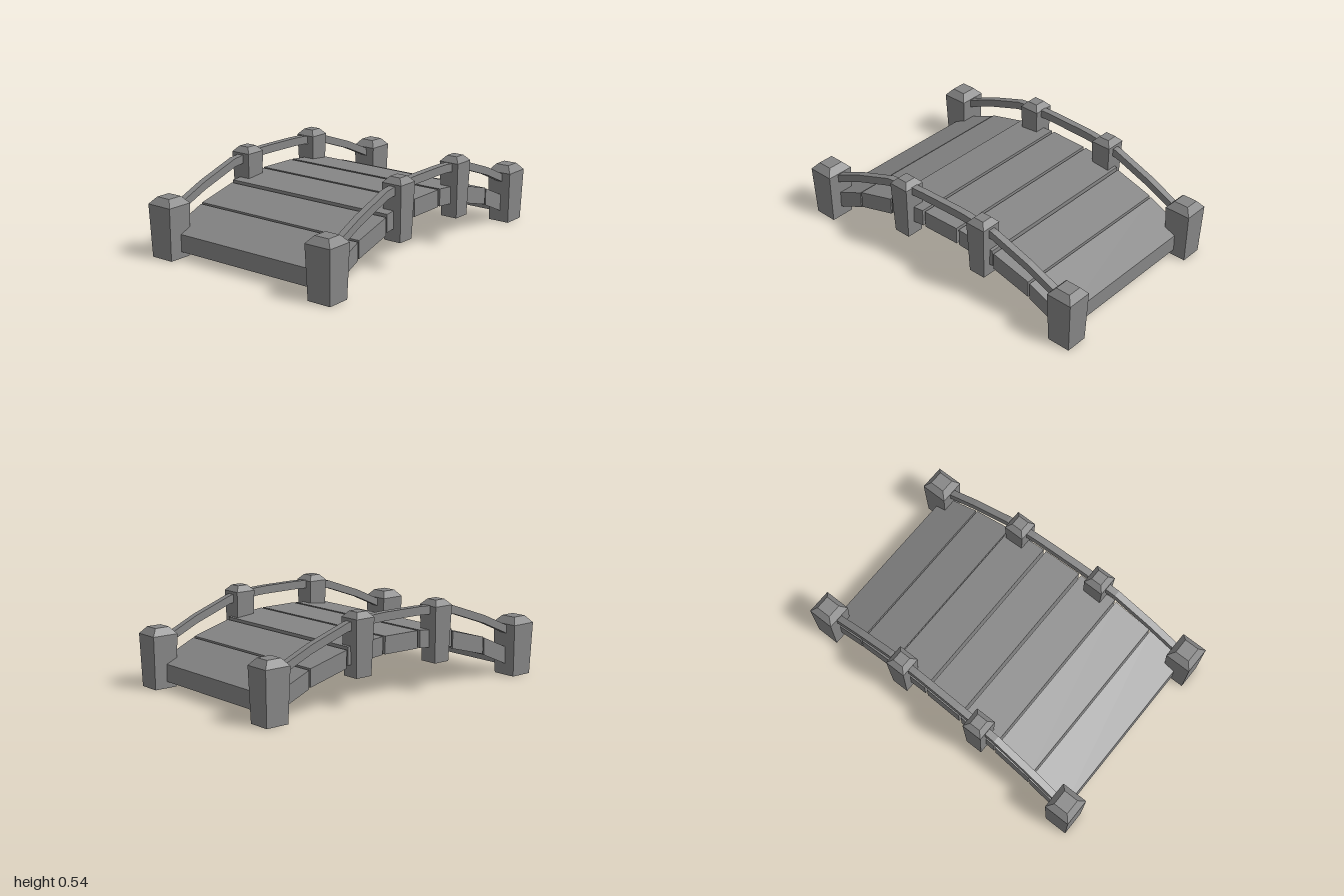
import * as THREE from 'three';

// Planks and posts are open underneath, so both sides show
const material = new THREE.MeshStandardMaterial({
  color: 0x868686, flatShading: true, side: THREE.DoubleSide,
});

// Half width of the bridge, narrowing towards the back
const sideX = (z) => 0.557 + 0.0285 * z;

// Moves every vertex of a geometry by a rule and rebuilds flat normals
function bend(geometry, rule) {
  const pos = geometry.attributes.position;
  const v = new THREE.Vector3();
  for (let i = 0; i < pos.count; i++) {
    rule(v.fromBufferAttribute(pos, i));
    pos.setXYZ(i, v.x, v.y, v.z);
  }
  const flat = geometry.toNonIndexed();
  flat.computeVertexNormals();
  return flat;
}

function addMesh(parent, name, geometry) {
  const mesh = new THREE.Mesh(geometry, material);
  mesh.name = name;
  parent.add(mesh);
}

// Box without its bottom face
function openBox(width, height, depth) {
  const box = new THREE.BoxGeometry(width, height, depth);
  const index = Array.from(box.index.array);
  index.splice(18, 6);
  box.setIndex(index);
  box.clearGroups();
  return box;
}

// Square post, open below, wider at the top, with a bevelled cap
function postGeometry([bottom, top, cap, shoulder, height], sign, y, z) {
  const profile = [[bottom, 0], [top, shoulder], [cap, height], [0, height]]
    .map(([half, h]) => new THREE.Vector2(half * Math.SQRT2, h));
  const geometry = new THREE.LatheGeometry(profile, 4).rotateY(Math.PI / 4);
  const widen = sideX(z) / sideX(0);
  return bend(geometry, (v) => v.set(v.x * widen + sign * sideX(z), v.y + y, v.z + z));
}

export function createModel() {
  const bridge = new THREE.Group();
  bridge.name = 'footbridge';

  // Deck planks following the arch: [z front, z back, top at front, top at back]
  const deck = new THREE.Group();
  deck.name = 'deck';
  bridge.add(deck);
  const half = [[0.91, 0.66, 0.145, 0.255], [0.65, 0.4, 0.262, 0.33], [0.39, 0.14, 0.345, 0.37]];
  const planks = [
    ...half,
    [0.122, -0.122, 0.37, 0.37],
    ...half.map(([a, b, ya, yb]) => [-b, -a, yb, ya]).reverse(),
  ];
  planks.forEach(([z0, z1, y0, y1], i) => {
    const geometry = bend(openBox(2, 1, 1), (v) => {
      const front = v.z > 0;
      const top = front ? y0 : y1;
      v.y = v.y > 0 ? top : top - 0.105;
      v.z = front ? z0 : z1;
      v.x *= sideX(v.z) + 0.01;
    });
    addMesh(deck, `plank${i + 1}`, geometry);
  });

  // Arched handrail: centre line as [z, y]
  const arch = [[0.9, 0.255], [0.84, 0.285], [0.65, 0.37], [0.4, 0.458], [0.2, 0.482], [0.12, 0.485]];
  const line = [...arch, ...arch.map(([z, y]) => [-z, y]).reverse()];
  const steps = line.length - 1;

  // Half widths at foot, shoulder and cap, then shoulder and full height
  const endPost = [0.072, 0.082, 0.046, 0.318, 0.36];
  const middlePost = [0.054, 0.065, 0.034, 0.333, 0.367];

  for (const [side, sign] of [['left', 1], ['right', -1]]) {
    const rail = bend(new THREE.BoxGeometry(0.042, 0.05, 1, 1, 1, steps), (v) => {
      const [z, y] = line[Math.round((0.5 - v.z) * steps)];
      v.set(v.x + sign * sideX(z), v.y + y, z);
    });
    addMesh(bridge, `${side}Handrail`, rail);

    // Posts standing on the ground at the ends, shorter ones hung on the deck
    for (const [name, sizes, y, z] of [
      ['FrontPost', endPost, 0, 0.917],
      ['FrontMiddlePost', middlePost, 0.17, 0.27],
      ['BackMiddlePost', middlePost, 0.17, -0.313],
      ['BackPost', endPost, 0, -0.917],
    ]) {
      addMesh(bridge, side + name, postGeometry(sizes, sign, y, z));
    }
  }
  return bridge;
}
